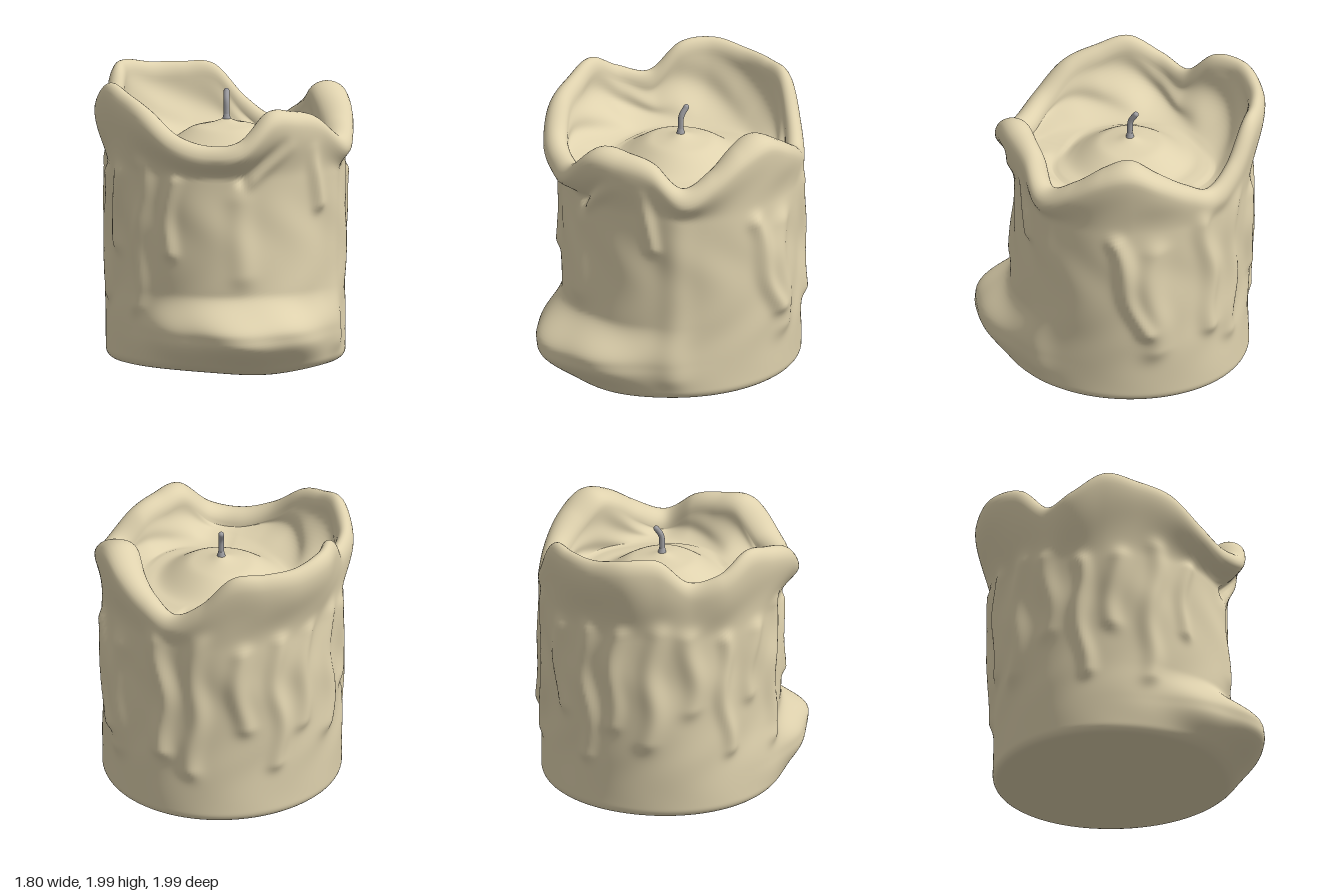
import * as THREE from 'three';

const CX = 0.02, CZ = -0.08, COLS = 256, BASE = 0.82, RAD = Math.PI / 180;
const { smoothstep: ss, lerp, clamp } = THREE.MathUtils;
const wrap = d => ((d + 540) % 360) - 180;

// Smooth closed curve through values spaced evenly round the candle, from the front towards +x
function around(values) {
  const curve = new THREE.CatmullRomCurve3(values.map(v => new THREE.Vector3(v, 0, 0)), true, 'catmullrom', 0.5);
  return deg => curve.getPoint(deg / 360).x;
}
const rimHeight = around([1.82, 1.81, 1.76, 1.61, 1.7, 1.83, 1.89, 1.79, 1.67, 1.58, 1.7, 1.92,
  1.94, 1.95, 1.99, 1.97, 1.79, 1.84, 1.96, 1.91, 1.83, 1.67, 1.6, 1.63]);
const rimRadius = around([.91, .86, .85, .91, .88, .86, .86, .86, .85, .85, .86, .89,
  .92, .95, .95, .88, .85, .91, .91, .91, .94, .94, .92, .945]);
const lipHalfWidth = around([.11, .09, .11, .13, .09, .06, .06, .06, .06, .06, .08, .09]);

// Wax runs on the front and +x side: top degrees, top y, bottom degrees, bottom y, height, width
const runs = [
  [6, 1.62, -13, 1.36, -.05, .04], [10, 1.58, -8, 1.36, .03, .05], [-14, 1.2, -13, .7, .025, .09],
  [26, 1.55, 30, 1.15, .04, .05], [42, 1.35, 41, .2, .025, .1], [82, 1.28, 96, .6, .045, .06],
  [100, 1.2, 102, .45, .04, .09], [128, 1.45, 132, .55, .045, .07],
].map(([d0, y0, d1, y1, h, w]) => ({ d0, y0, d1, y1, h, w, wobble: Math.abs(d0) > 50 ? 2 : .5 }));

// Wandering runs over the back and -x side
let seed = 7;
const rand = () => (seed = (seed * 16807) % 2147483647) / 2147483647;
for (let d = 148; d < 325; d += 18) {
  const d0 = d + 4 * rand(), y0 = 1.25 + .2 * rand();
  runs.push({ d0, y0, d1: d0 + 8 * rand() - 4, y1: .3 + .6 * rand(), h: .035, w: .05 + .03 * rand(), wobble: 2 });
}

function runHeight(deg, y) {
  let sum = 0;
  for (const { d0, y0, d1, y1, h, w, wobble } of runs) {
    const k = RAD * BASE;
    const ax = wrap(deg + wobble * Math.sin(y * 9 + d0) - d0) * k, ay = y - y0;
    const dx = (d1 - d0) * k, dy = y1 - y0;
    const t = clamp((ax * dx + ay * dy) / (dx * dx + dy * dy), 0, 1);
    sum += h * Math.exp(-((Math.hypot(ax - t * dx, ay - t * dy) / w) ** 2));
  }
  return sum;
}

// Slab of spilled wax at the foot of the front
function spill(deg, y) {
  const d = wrap(deg + 14);
  const across = Math.exp(-((d / 38) ** 2));
  const up = ss(y, -.03, .25) * (1 - ss(y, .3, .56));
  return across * up * (.255 + .015 * Math.sin(d * .2 + y * 9));
}

// Outer wall radius below the lip, with gentle lumps
function wall(deg, y, R, top) {
  const a = deg * RAD;
  const lumps = .008 * Math.sin(3 * a + 4 * y) + .006 * Math.sin(9 * a + 2 * Math.sin(6 * y)) * ss(y, .1, .5);
  const body = BASE + lumps - .025 * ss(y, .5, 1.3) * Math.max(0, Math.cos(a));
  const flare = ss(y, 1.36, Math.max(top, 1.5));
  return lerp(body + runHeight(deg, y) * (1 - .6 * flare) + spill(deg, y), R, flare);
}

// Cross-section from the underside, up the wall, over the lip and in to the centre
function section(deg) {
  const R = rimRadius(deg), w = lipHalfWidth(deg), a = deg * RAD;
  const lipH = .1, top = rimHeight(deg) - lipH, pts = [];
  const foot = .03 - .03 * Math.exp(-((wrap(deg + 2) / 25) ** 2));
  const r0 = wall(deg, foot, R, top) - .05;
  for (const f of [0, .5, .9]) pts.push([r0 * f, f < .9 ? .03 : lerp(foot, .03, .5)]);
  for (let j = 0; j <= 80; j++) {
    const t = j / 80, y = lerp(foot, top, t ** 1.3);
    const k = 1 - clamp((y - foot) / .06, 0, 1);
    pts.push([wall(deg, y, R, top) - .05 * (1 - Math.sqrt(1 - k * k)), y]);
  }
  for (let j = 1; j <= 12; j++) {
    const t = j / 12 * Math.PI;
    pts.push([R - w + w * Math.cos(t), top + lipH * Math.sin(t)]);
  }
  // inner wall with soft folds, deepest on the -x side
  const edgeR = .54 + .05 * Math.sin(a) - .03 * Math.cos(a) + .015 * Math.sin(5 * a);
  const edgeY = Math.min(1.48, top - .02), fold = .012 + .02 * Math.max(0, -Math.sin(a));
  for (let j = 1; j <= 18; j++) {
    const t = j / 18;
    pts.push([lerp(R - 2 * w, edgeR, t ** 1.9) + fold * Math.sin(t * Math.PI) * Math.sin(8 * a + 7 * t),
      lerp(top, edgeY, 1 - (1 - t) ** 1.4)]);
  }
  // domed pool of wax around the wick, ringed by a shallow moat
  for (let j = 1; j <= 24; j++) {
    const q = 1 - j / 24, r = edgeR * q;
    const dome = 1.49 + .12 * (1 - ss(r, .2, .46)) + .04 * (1 - ss(r, 0, .3)) + .02 * Math.exp(-((r / .06) ** 2));
    pts.push([r, lerp(dome, edgeY, ss(q, .8, 1)) + .01 * q * Math.sin(3 * a)]);
  }
  return pts;
}

function waxGeometry() {
  const pos = [], idx = [];
  let rows = 0;
  for (let i = 0; i < COLS; i++) {
    const deg = i / COLS * 360, a = deg * RAD, pts = section(deg);
    rows = pts.length;
    for (const [r, y] of pts) pos.push(CX + r * Math.sin(a), y, CZ + r * Math.cos(a));
  }
  for (let i = 0; i < COLS; i++) for (let j = 0; j + 1 < rows; j++) {
    const p = i * rows + j, q = ((i + 1) % COLS) * rows + j;
    idx.push(p, q, q + 1, p, q + 1, p + 1);
  }
  const g = new THREE.BufferGeometry();
  g.setAttribute('position', new THREE.Float32BufferAttribute(pos, 3));
  g.setIndex(idx);
  g.computeVertexNormals();
  return g;
}

export function createModel() {
  const group = new THREE.Group();
  group.name = 'candle';
  const add = (name, geo, color, parent = group) => {
    const m = new THREE.Mesh(geo, new THREE.MeshStandardMaterial({ color }));
    m.name = name;
    parent.add(m);
    return m;
  };
  add('waxBody', waxGeometry(), 0xdfd2ae);

  // Wick bent slightly at the top, with a rounded end
  const wick = new THREE.Group();
  wick.name = 'wick';
  const path = new THREE.CatmullRomCurve3([
    [CX, 1.62, CZ], [CX, 1.72, CZ], [CX + .002, 1.79, CZ - .006], [CX + .015, 1.85, CZ - .04],
  ].map(p => new THREE.Vector3(...p)));
  add('wickStem', new THREE.TubeGeometry(path, 20, .02, 12), 0xa0a0a4, wick);
  add('wickTip', new THREE.SphereGeometry(.02, 12, 8), 0xa0a0a4, wick).position.copy(path.getPoint(1));
  add('wickFoot', new THREE.CylinderGeometry(.02, .032, .05, 16), 0xa0a0a4, wick).position.set(CX, 1.675, CZ);
  group.add(wick);
  return group;
}
